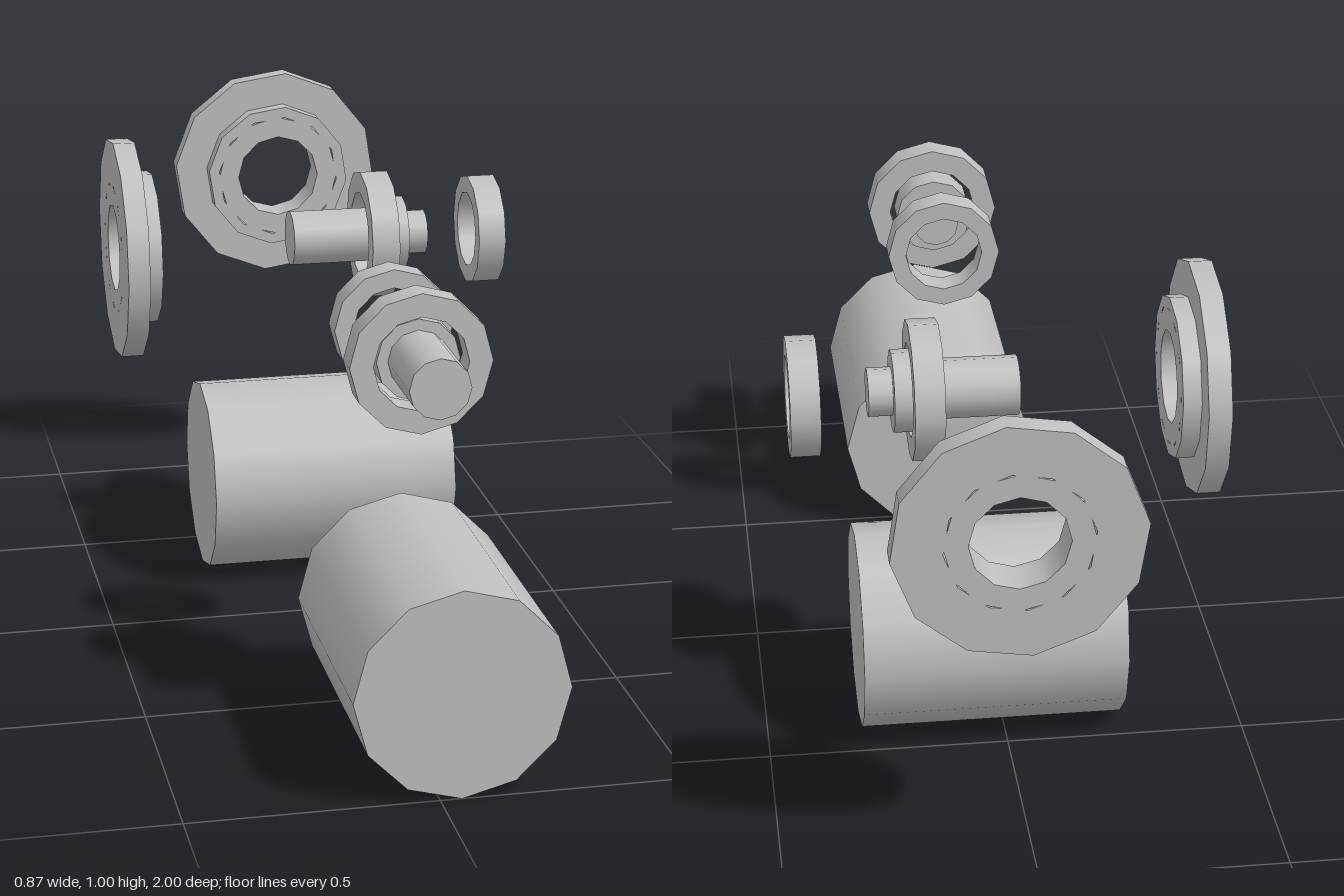
import * as THREE from 'three';
import { mergeGeometries } from 'three/addons/utils/BufferGeometryUtils.js';

const SIDES = 12;

// Turned solid along +y: each profile segment gets its own smooth wall, so corners stay sharp.
function turned(profile) {
  const walls = [];
  for (let i = 0; i < profile.length - 1; i++) {
    const pts = [profile[i], profile[i + 1]].map(([r, y]) => new THREE.Vector2(r, y));
    walls.push(new THREE.LatheGeometry(pts, SIDES));
  }
  return mergeGeometries(walls);
}

// Closed ring between two radii
const ring = (inner, outer, a, b) =>
  turned([[inner, a], [outer, a], [outer, b], [inner, b], [inner, a]]);

export function createModel() {
  const model = new THREE.Group();
  model.name = 'explodedMachineParts';
  const steel = new THREE.MeshStandardMaterial({ color: 0xc0c0c0 });
  steel.name = 'grey steel';

  // Each set lies along its own axis; shaft may point either way along it
  function buildSet(name, alongX, pos) {
    const set = new THREE.Group();
    set.name = name;
    const add = (part, geo, y, at, flip = false, spin = 0) => {
      if (flip) geo.rotateX(Math.PI);
      if (spin) geo.rotateY(spin);
      if (alongX) geo.rotateZ(-Math.PI / 2).translate(at, y, -0.345);
      else geo.rotateX(Math.PI / 2).translate(0.043, y, at);
      const mesh = new THREE.Mesh(geo, steel);
      mesh.name = part;
      set.add(mesh);
    };
    const axisY = 0.761;
    const flip = !alongX;
    const spin = alongX ? 0.11 : -0.11;

    // Solid drum on the ground
    add('drum', new THREE.CylinderGeometry(0.215, 0.215, 0.549, SIDES), 0.215, pos.drum);

    // Stepped flange with a bearing pressed into its pocket
    add('flange', turned([
      [0.145, 0], [0.245, 0], [0.245, 0.048], [0.17, 0.048],
      [0.17, 0.086], [0.145, 0.086], [0.145, 0],
    ]), axisY, pos.flange, false, spin);
    add('flangeBearing', ring(0.097, 0.145, 0, 0.086), axisY, pos.flange);

    // Stepped shaft: thick journal, collar, thin tip
    add('shaft', turned([
      [0, 0], [0.062, 0], [0.062, 0.19], [0.085, 0.19], [0.085, 0.258],
      [0.05, 0.258], [0.05, 0.308], [0, 0.308],
    ]), axisY, pos.shaft, flip);
    add('shaftBearing', ring(0.097, 0.145, 0.161, 0.223), axisY, pos.shaft, flip);

    // Loose spacer ring
    add('spacerRing', ring(0.085, 0.1235, 0, 0.061), axisY, pos.ring);
    model.add(set);
  }

  buildSet('sidewaysSet', true, { drum: 0.029, flange: -0.435, shaft: -0.036, ring: 0.373 });
  buildSet('lengthwiseSet', false, { drum: 0.7255, flange: -1, shaft: 0.789, ring: 0.317 });
  return model;
}
